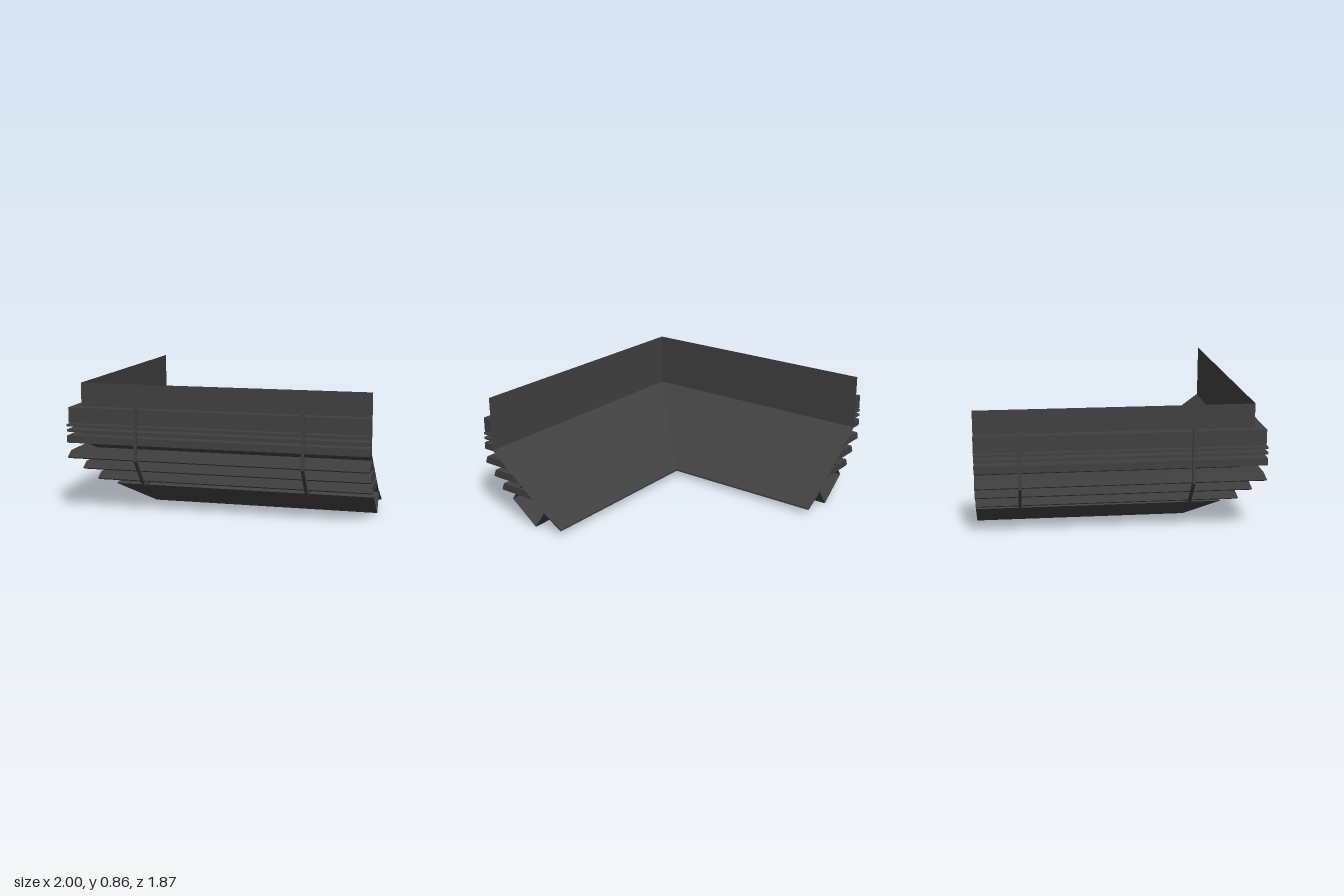
import * as THREE from 'three';

const WALL_X = -0.907, WALL_Z = 0.84, END_Z = -0.935, END_X = 1;
const material = new THREE.MeshStandardMaterial({ color: 0x404040, flatShading: true, side: THREE.DoubleSide });

// Sweeps a profile of [outward offset, height] points round the mitred corner.
// Closed profiles run counter-clockwise and get end caps.
function mitredSweep(name, profile, closed = true) {
  const stations = [
    ([d, y]) => [WALL_X - d, y, END_Z],
    ([d, y]) => [WALL_X - d, y, WALL_Z + d],
    ([d, y]) => [END_X, y, WALL_Z + d],
  ];
  const pos = [];
  const tri = (a, b, c) => pos.push(...a, ...b, ...c);
  const edges = closed ? profile.length : profile.length - 1;
  for (let s = 0; s < 2; s++) {
    for (let i = 0; i < edges; i++) {
      const p = profile[i], q = profile[(i + 1) % profile.length];
      const a = stations[s](p), b = stations[s](q);
      const c = stations[s + 1](q), d = stations[s + 1](p);
      tri(a, d, c);
      tri(a, c, b);
    }
  }
  if (closed) {
    const faces = THREE.ShapeUtils.triangulateShape(profile.map(([d, y]) => new THREE.Vector2(d, y)), []);
    for (const [i, j, k] of faces) {
      tri(...[i, j, k].map((n) => stations[0](profile[n])));
      tri(...[k, j, i].map((n) => stations[2](profile[n])));
    }
  }
  const geometry = new THREE.BufferGeometry();
  geometry.setAttribute('position', new THREE.Float32BufferAttribute(pos, 3));
  geometry.computeVertexNormals();
  const mesh = new THREE.Mesh(geometry, material);
  mesh.name = name;
  return mesh;
}

const box = (d0, d1, y0, y1) => [[d0, y0], [d1, y0], [d1, y1], [d0, y1]];

// Bent flat bar: vertical, sloping in, then running in under the lowest slat
function bracketGeometry() {
  const outline = [
    [-0.2, 0.17], [-0.066, 0.17], [0.092, 0.365], [0.092, 0.73],
    [0.076, 0.73], [0.076, 0.371], [-0.074, 0.185], [-0.2, 0.185],
  ];
  const shape = new THREE.Shape(outline.map(([d, y]) => new THREE.Vector2(d, y)));
  return new THREE.ExtrudeGeometry(shape, { depth: 0.02, bevelEnabled: false }).translate(0, 0, -0.01);
}

export function createModel() {
  const model = new THREE.Group();
  model.name = 'cornerCornice';

  // Upright sheet and the sloping sheet below it
  model.add(mitredSweep('uprightPanel', [[0, 0.855], [0, 0.47]], false));
  model.add(mitredSweep('slopingPanel', [[0, 0.47], [-0.46, 0.125]], false));

  // Hollow channel under the slope, and the inner drip strip
  model.add(mitredSweep('lowerChannel', [[-0.26, 0.275], [-0.17, 0.155], [-0.38, 0], [-0.465, 0.125]], false));
  model.add(mitredSweep('dripStrip', [[-0.615, 0.035], [-0.46, 0.122], [-0.46, 0.134], [-0.615, 0.047]]));

  // Horizontal rails on the upright panel
  model.add(mitredSweep('topRail', box(0, 0.065, 0.598, 0.7)));
  model.add(mitredSweep('upperThinRail', box(0, 0.075, 0.575, 0.59)));
  model.add(mitredSweep('lowerThinRail', box(0, 0.075, 0.54, 0.555)));
  model.add(mitredSweep('bottomRail', box(0, 0.075, 0.467, 0.515)));

  // Slats stepping down the slope, each cut to meet it
  const slopeOffset = (y) => (y - 0.47) / 0.75;
  [[0.075, 0.363], [0, 0.28], [-0.073, 0.197]].forEach(([d, y], i) => {
    const top = y + 0.052;
    model.add(mitredSweep(`slat${i + 1}`, [
      [slopeOffset(y), y], [d - 0.008, y], [d, y + 0.008],
      [d - 0.018, top], [slopeOffset(top), top],
    ]));
  });

  // Brackets on both legs
  const geometry = bracketGeometry();
  const addBracket = (name, x, z, turn) => {
    const bracket = new THREE.Mesh(geometry, material);
    bracket.name = name;
    bracket.position.set(x, 0, z);
    bracket.rotation.y = turn;
    model.add(bracket);
  };
  [-0.51, 0.583].forEach((x, i) => addBracket(`frontBracket${i + 1}`, x, WALL_Z, -Math.PI / 2));
  [-0.652, 0.44].forEach((z, i) => addBracket(`sideBracket${i + 1}`, WALL_X, z, Math.PI));

  return model;
}
